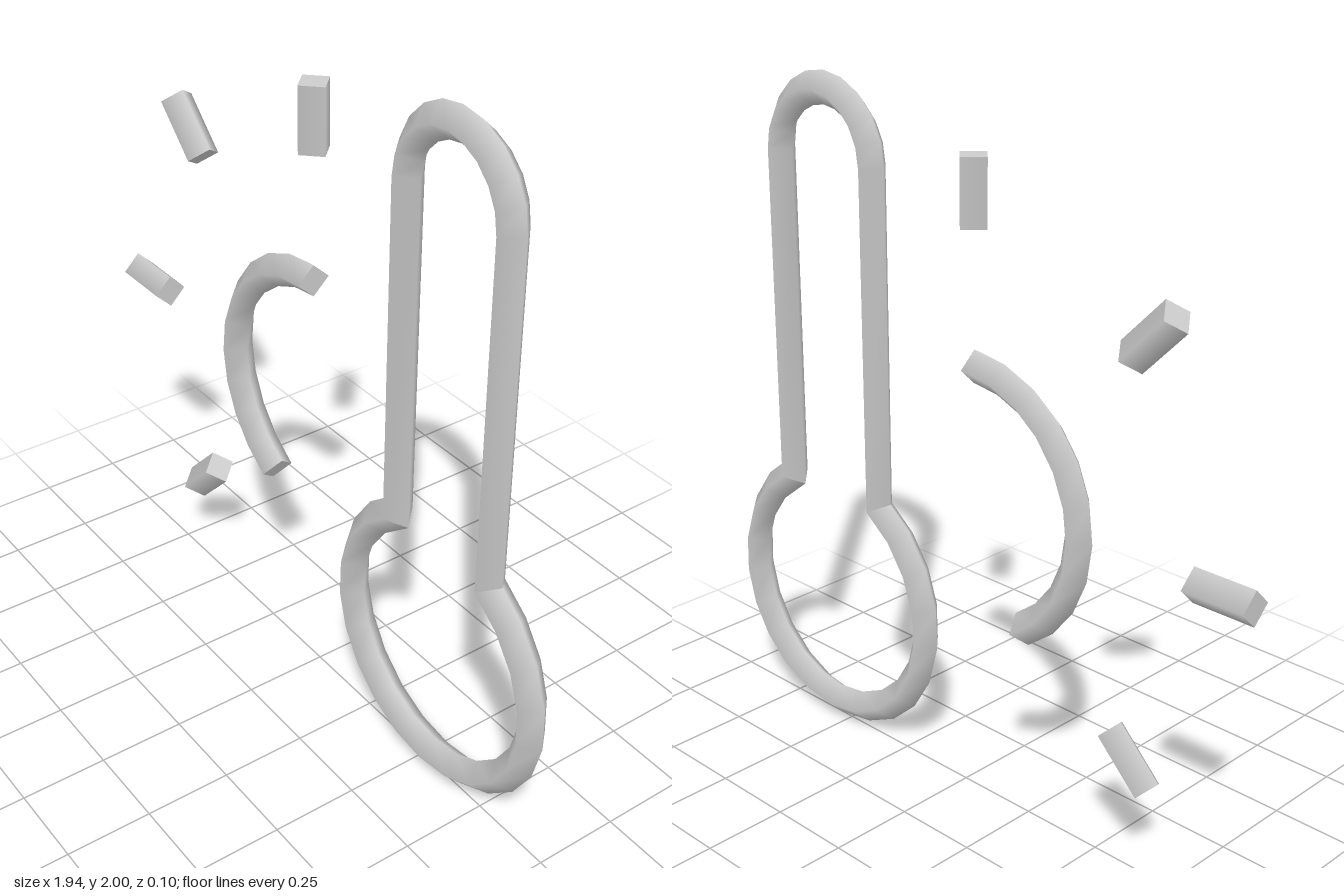
import * as THREE from 'three';

const R = 0.047; // half-width of the diamond rod section
const DEPTH = 0.05; // half-depth of the section
const rad = THREE.MathUtils.degToRad;

// Points on an arc, angles in degrees
function arc(cx, cy, r, from, to, steps) {
  return Array.from({ length: steps + 1 }, (_, i) => {
    const a = rad(from + ((to - from) * i) / steps);
    return new THREE.Vector2(cx + r * Math.cos(a), cy + r * Math.sin(a));
  });
}

// Sweep a diamond section along a flat path, with mitred joints and smooth sides
function sweepRod(path, closed) {
  const n = path.length;
  const segs = closed ? n : n - 1;
  const dirs = [];
  for (let i = 0; i < segs; i++) {
    dirs.push(path[(i + 1) % n].clone().sub(path[i]).normalize());
  }
  const right = (d) => new THREE.Vector2(d.y, -d.x);
  const joint = (i) => {
    const before = dirs[closed ? (i + segs - 1) % segs : Math.max(i - 1, 0)];
    const after = dirs[closed ? i % segs : Math.min(i, segs - 1)];
    const side = right(before.clone().add(after).normalize());
    return { p: path[i % n], side, stretch: 1 / side.dot(right(after)), sharp: before.dot(after) < 0.8 };
  };
  const pos = [], nor = [], idx = [];
  const corner = (j, k) => {
    const c = Math.cos((k * Math.PI) / 2), s = Math.sin((k * Math.PI) / 2);
    pos.push(j.p.x + j.side.x * c * R * j.stretch, j.p.y + j.side.y * c * R * j.stretch, s * DEPTH);
    return [c, s];
  };
  for (let i = 0; i < segs; i++) {
    const base = pos.length / 3;
    for (const j of [joint(i), joint(i + 1)]) {
      const m = j.sharp ? right(dirs[i]) : j.side; // keep sharp bends crisp
      for (let k = 0; k < 4; k++) {
        const [c, s] = corner(j, k);
        nor.push(m.x * c, m.y * c, s);
      }
    }
    for (let k = 0; k < 4; k++) {
      const a = base + k, b = base + ((k + 1) % 4);
      idx.push(a, a + 4, b, b, a + 4, b + 4);
    }
  }
  // Flat end caps
  if (!closed) {
    for (const [i, sign] of [[0, -1], [n - 1, 1]]) {
      const base = pos.length / 3;
      const d = dirs[Math.min(i, segs - 1)];
      for (let k = 0; k < 4; k++) {
        corner(joint(i), k * -sign);
        nor.push(d.x * sign, d.y * sign, 0);
      }
      idx.push(base, base + 1, base + 2, base, base + 2, base + 3);
    }
  }
  const g = new THREE.BufferGeometry();
  g.setAttribute('position', new THREE.Float32BufferAttribute(pos, 3));
  g.setAttribute('normal', new THREE.Float32BufferAttribute(nor, 3));
  g.setIndex(idx);
  return g;
}

export function createModel() {
  const group = new THREE.Group();
  const grey = new THREE.MeshStandardMaterial({ color: 0xcccccc });
  grey.name = 'light grey';
  const add = (name, geometry) => {
    const mesh = new THREE.Mesh(geometry, grey);
    mesh.name = name;
    group.add(mesh);
    return mesh;
  };

  // Thermometer outline: rounded top, straight stem, round bulb
  const stem = 0.189, bulb = 0.38;
  const open = THREE.MathUtils.radToDeg(Math.acos(stem / bulb));
  add('thermometerOutline', sweepRod([
    ...arc(0.546, 1.764, stem, 0, 180, 10),
    ...arc(0.544, 0.432, bulb, 180 - open, 360 + open, 18),
  ], true));

  // Sun disc: partial ring, with short end steps so the ends are cut square
  const ring = (from, to, steps) => arc(-0.03, 0.91, 0.381, from, to, steps);
  add('sunArc', sweepRod([...ring(90, 91, 1), ...ring(105, 226, 8), ...ring(240, 241, 1)], false));

  // Sun rays: short square rods pointing outward
  const rays = [[-0.027, 1.765, 0], [-0.631, 1.513, 45], [-0.88, 0.91, 90], [-0.605, 0.33, 135]];
  rays.forEach(([x, y, turn], i) => {
    const ray = add('sunRay' + (i + 1), new THREE.CylinderGeometry(DEPTH, DEPTH, 0.188, 4));
    ray.position.set(x, y, 0);
    ray.rotation.z = rad(turn);
  });
  return group;
}
